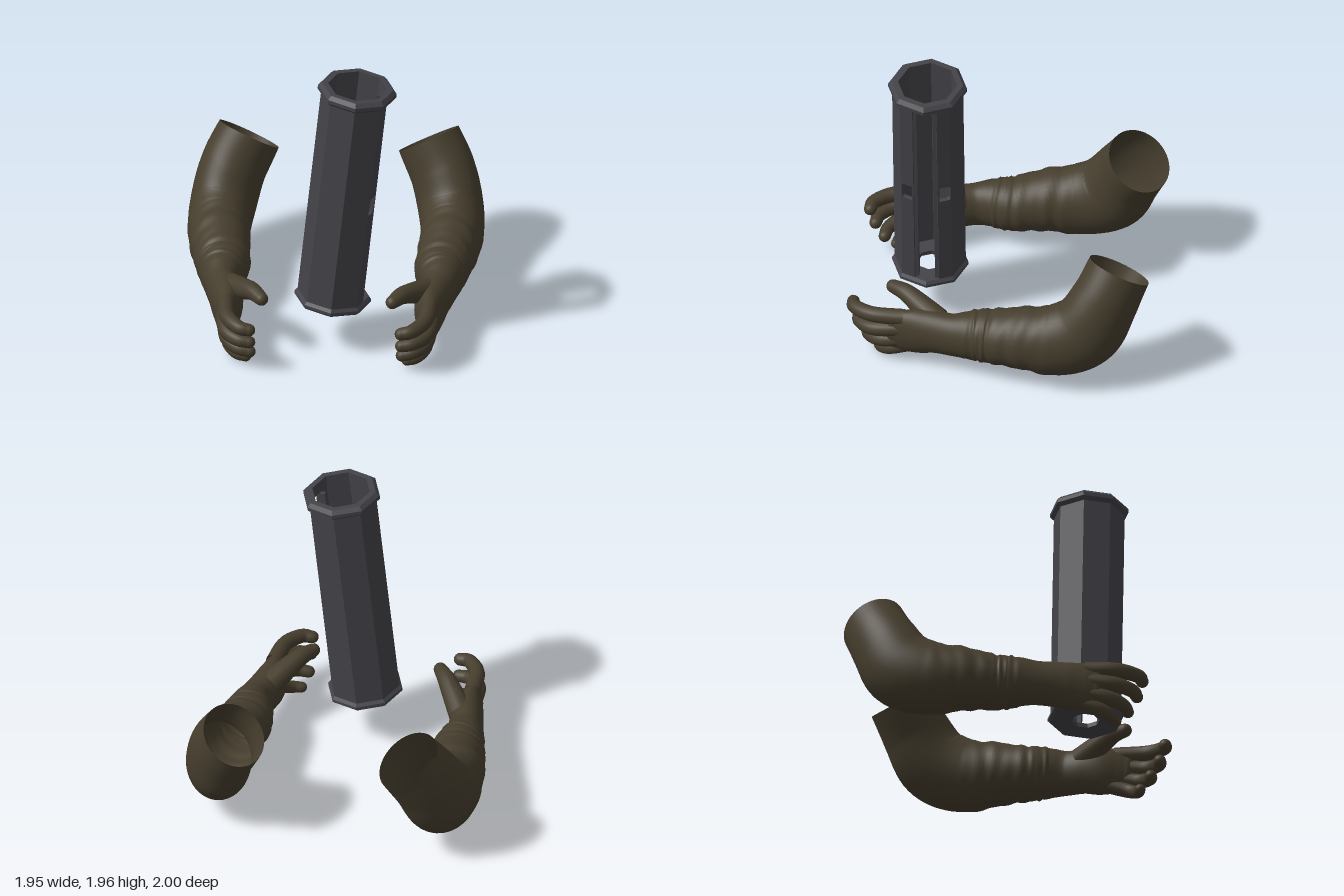
import * as THREE from 'three';

const metal = new THREE.MeshStandardMaterial({ color: 0x434248, flatShading: true });
metal.name = 'dark metal';
const cloth = new THREE.MeshStandardMaterial({ color: 0x463e2e, side: THREE.DoubleSide });
cloth.name = 'olive cloth';

function addMesh(parent, name, geometry, material) {
  const mesh = new THREE.Mesh(geometry, material);
  mesh.name = name;
  parent.add(mesh);
  return mesh;
}

// Lofts ellipses along keys [x, y, z, sideRadius, upRadius]; the far end is rounded off.
function loft(keys, mirror, radial, rings, fold = () => 1) {
  const path = new THREE.CatmullRomCurve3(keys.map(k => new THREE.Vector3(k[0], k[1], k[2])), false, 'catmullrom');
  const radii = new THREE.CatmullRomCurve3(keys.map(k => new THREE.Vector3(k[3], k[4], 0)), false, 'catmullrom');
  const Y = new THREE.Vector3(0, 1, 0), pos = [], index = [], capRings = 6;
  for (let i = 0; i <= rings + capRings; i++) {
    const t = Math.min(i / rings, 1);
    const a = Math.max(0, i - rings) / capRings * Math.PI / 2;
    const c = path.getPoint(t), T = path.getTangent(t), r = radii.getPoint(t);
    const side = new THREE.Vector3().crossVectors(Y, T).normalize();
    const up = new THREE.Vector3().crossVectors(T, side);
    c.addScaledVector(T, r.x * Math.sin(a));
    for (let j = 0; j < radial; j++) {
      const ang = j / radial * Math.PI * 2;
      const f = fold(t * (keys.length - 1), ang) * Math.max(Math.cos(a), 0.001);
      const p = c.clone()
        .addScaledVector(side, Math.cos(ang) * r.x * f)
        .addScaledVector(up, Math.sin(ang) * r.y * f);
      pos.push(p.x * mirror, p.y, p.z);
      if (i === 0) continue;
      const k = (j + 1) % radial, lo = (i - 1) * radial, hi = i * radial;
      const quad = [lo + j, lo + k, hi + j, lo + k, hi + k, hi + j];
      index.push(...(mirror < 0 ? quad.reverse() : quad));
    }
  }
  const g = new THREE.BufferGeometry();
  g.setAttribute('position', new THREE.Float32BufferAttribute(pos, 3));
  g.setIndex(index);
  g.computeVertexNormals();
  return g;
}

// Shoulder opening, elbow, cuff, wrist and palm
const armKeys = [
  [0.59, 0.81, -0.81, 0.205, 0.225], [0.69, 0.61, -0.715, 0.21, 0.24],
  [0.745, 0.42, -0.60, 0.215, 0.26], [0.765, 0.335, -0.42, 0.208, 0.25],
  [0.75, 0.32, -0.20, 0.197, 0.215], [0.72, 0.295, 0.0, 0.18, 0.185],
  [0.715, 0.29, 0.10, 0.163, 0.18], [0.718, 0.285, 0.18, 0.14, 0.166],
  [0.71, 0.275, 0.28, 0.114, 0.152], [0.68, 0.27, 0.40, 0.112, 0.155],
  [0.665, 0.255, 0.51, 0.102, 0.165], [0.665, 0.245, 0.61, 0.075, 0.155],
  [0.665, 0.24, 0.67, 0.055, 0.135],
];

// Finger joints, with root and tip radius
const fingers = {
  indexFinger: [[[0.67, 0.36, 0.60], [0.65, 0.355, 0.81], [0.57, 0.345, 0.935], [0.50, 0.335, 0.955]], 0.056, 0.042],
  middleFinger: [[[0.68, 0.28, 0.60], [0.66, 0.25, 0.80], [0.58, 0.235, 0.90], [0.50, 0.225, 0.92]], 0.056, 0.041],
  ringFinger: [[[0.675, 0.20, 0.58], [0.655, 0.16, 0.75], [0.58, 0.135, 0.84], [0.50, 0.12, 0.86]], 0.054, 0.04],
  littleFinger: [[[0.66, 0.15, 0.54], [0.645, 0.09, 0.69], [0.59, 0.052, 0.76], [0.53, 0.042, 0.785]], 0.052, 0.036],
  thumb: [[[0.65, 0.34, 0.38], [0.56, 0.395, 0.51], [0.49, 0.43, 0.61], [0.43, 0.428, 0.70]], 0.085, 0.045],
};

// Sleeve wrinkles from the elbow to the cuff
function wrinkles(u, a) {
  const zone = THREE.MathUtils.smoothstep(u, 2.6, 4) * (1 - THREE.MathUtils.smoothstep(u, 6.2, 7.6));
  return 1 + zone * (0.018 * Math.sin(u * 8 + 1.6 * Math.sin(a + 0.6)) + 0.014 * Math.sin(u * 13 - 2 * Math.cos(a * 2)));
}

function createArm(name, mirror) {
  const arm = new THREE.Group();
  arm.name = name;
  addMesh(arm, 'sleeveAndPalm', loft(armKeys, mirror, 40, 110, wrinkles), cloth);
  for (const [finger, [joints, root, tip]] of Object.entries(fingers)) {
    const keys = joints.map((p, i) => {
      const r = THREE.MathUtils.lerp(root, tip, i / (joints.length - 1));
      return [...p, r, r];
    });
    addMesh(arm, finger, loft(keys, mirror, 16, 20), cloth);
  }
  return arm;
}

// Eight-sided ring from a closed profile of [radius, height]
function octagonRing(profile, start = 0, sides = 8) {
  const points = [...profile, profile[0]].map(p => new THREE.Vector2(p[0], p[1]));
  return new THREE.LatheGeometry(points, sides, start, sides * Math.PI / 4);
}

function createTube() {
  const tube = new THREE.Group();
  tube.name = 'octagonalTube';
  const R = 0.235, low = 0.04, high = 1.57;

  // Six closed sides
  addMesh(tube, 'tubeWall', octagonRing([[R, low], [R, high], [0.2, high], [0.2, low]], Math.PI * 0.75, 6), metal);

  // Two half sides with windows, and inset rails that narrow the long slot between them
  for (const s of [1, -1]) {
    const shape = new THREE.Shape();
    const x0 = s > 0 ? -0.09 : -0.003;
    shape.moveTo(x0, low).lineTo(x0 + 0.093, low).lineTo(x0 + 0.093, high).lineTo(x0, high).closePath();
    const hole = new THREE.Path(), o = -0.084 * s, n = -0.008 * s;
    hole.moveTo(n, 0.745).lineTo(n, 0.865).lineTo(o + 0.02 * s, 0.865).quadraticCurveTo(o, 0.865, o, 0.84)
      .lineTo(o, 0.77).quadraticCurveTo(o, 0.745, o + 0.02 * s, 0.745).closePath();
    shape.holes.push(hole);
    const g = new THREE.ExtrudeGeometry(shape, { depth: 0.03, bevelEnabled: false, curveSegments: 5 });
    g.translate(0, 0, R * Math.cos(Math.PI / 8) - 0.03);
    g.rotateY(Math.PI / 2 - s * Math.PI / 8);
    addMesh(tube, s > 0 ? 'frontSlotPanel' : 'backSlotPanel', g, metal);

    const rail = addMesh(tube, s > 0 ? 'frontSlotRail' : 'backSlotRail',
      new THREE.BoxGeometry(0.06, 1.49, 0.027), metal);
    rail.position.set(0.162, 0.795, s * 0.0665);
  }

  // Bevelled collar and base with a small opening
  addMesh(tube, 'topCollar', octagonRing([
    [0.235, 1.55], [0.26, 1.572], [0.26, 1.598], [0.236, 1.623], [0.195, 1.623], [0.195, 1.54]]), metal);
  addMesh(tube, 'base', octagonRing([
    [0.09, 0], [0.235, 0], [0.252, 0.015], [0.252, 0.035], [0.235, 0.055], [0.2, 0.055], [0.2, 0.03], [0.09, 0.03]]), metal);

  tube.position.set(0.025, 0.325, 0.5);
  tube.rotation.z = -0.103;
  return tube;
}

export function createModel() {
  const model = new THREE.Group();
  model.name = 'armsWithTube';
  model.add(createArm('leftArm', 1), createArm('rightArm', -1), createTube());
  return model;
}
